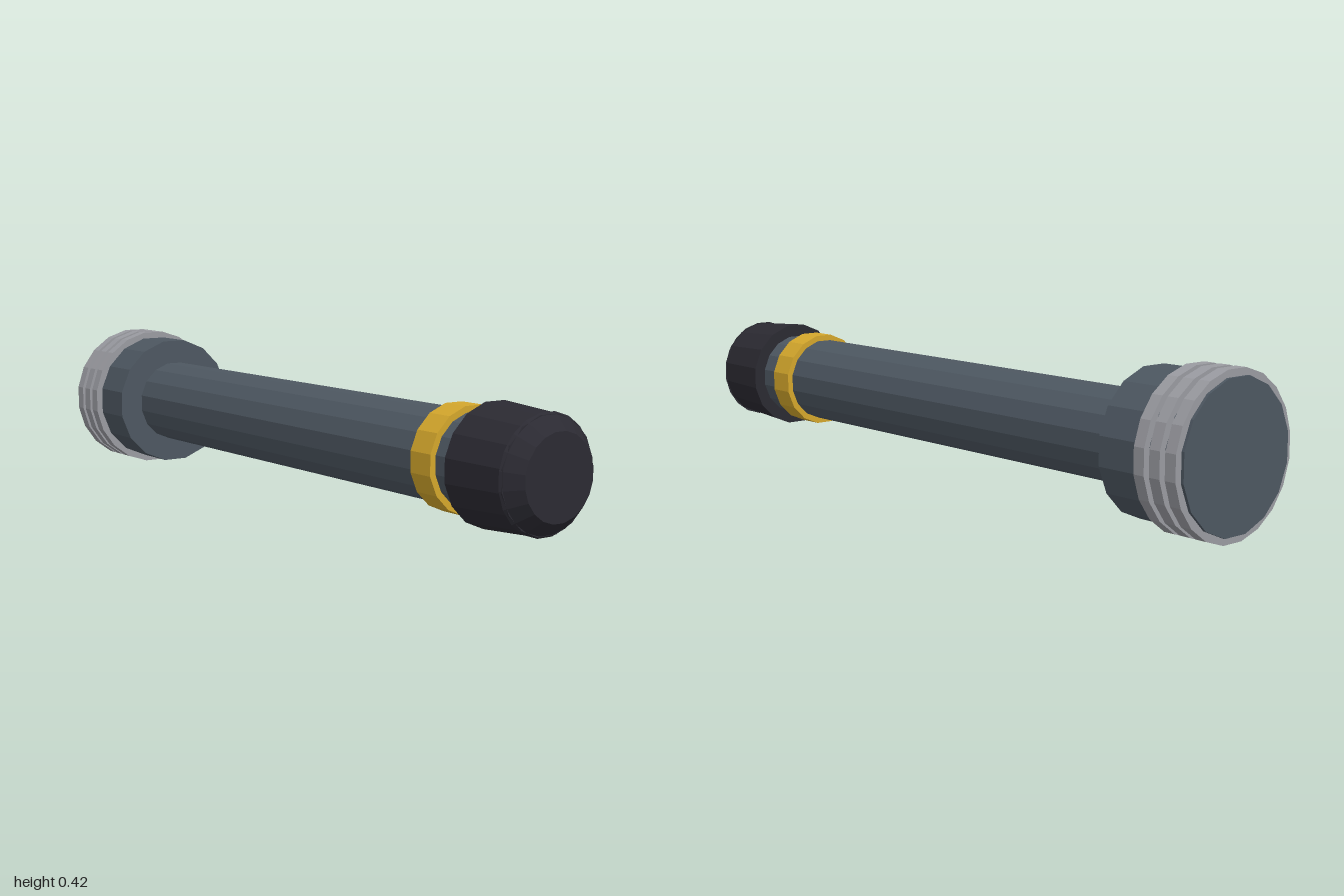
import * as THREE from 'three';

const AXIS_Y = 0.2095;

export function createModel() {
  const model = new THREE.Group();
  const mat = (name, color) => {
    const m = new THREE.MeshStandardMaterial({ color });
    m.name = name;
    return m;
  };
  const slate = mat('slate', 0x4d5761);
  const steel = mat('steel', 0x9a9ba1);
  const gold = mat('gold', 0xd4a72c);
  const charcoal = mat('charcoal', 0x2b2a32);

  // Faceted frustum along x from x0 to x1, with flats facing up and sideways
  const barrel = (name, x0, x1, r0, r1, sides, material) => {
    const geo = new THREE.CylinderGeometry(r1, r0, x1 - x0, sides, 1, false, Math.PI / sides)
      .rotateZ(-Math.PI / 2)
      .toNonIndexed();
    geo.computeVertexNormals();
    const mesh = new THREE.Mesh(geo, material);
    mesh.name = name;
    mesh.position.set((x0 + x1) / 2, AXIS_Y, 0);
    model.add(mesh);
  };

  // Shaft and end block
  barrel('shaft', -0.74, 0.8, 0.122, 0.122, 16, slate);
  barrel('endBlock', -1, -0.735, 0.194, 0.194, 16, slate);

  // Three grip rings around the end block
  for (let i = 0; i < 3; i++) {
    const x = -0.992 + i * 0.048;
    barrel('gripRing' + (i + 1), x, x + 0.032, 0.212, 0.212, 20, steel);
  }

  // Coloured band near the tip
  barrel('band', 0.625, 0.7, 0.139, 0.139, 16, gold);

  // Tapered tip with a chamfered nose
  barrel('tip', 0.775, 0.962, 0.158, 0.146, 16, charcoal);
  barrel('tipNose', 0.955, 1, 0.15, 0.109, 20, charcoal);

  return model;
}
